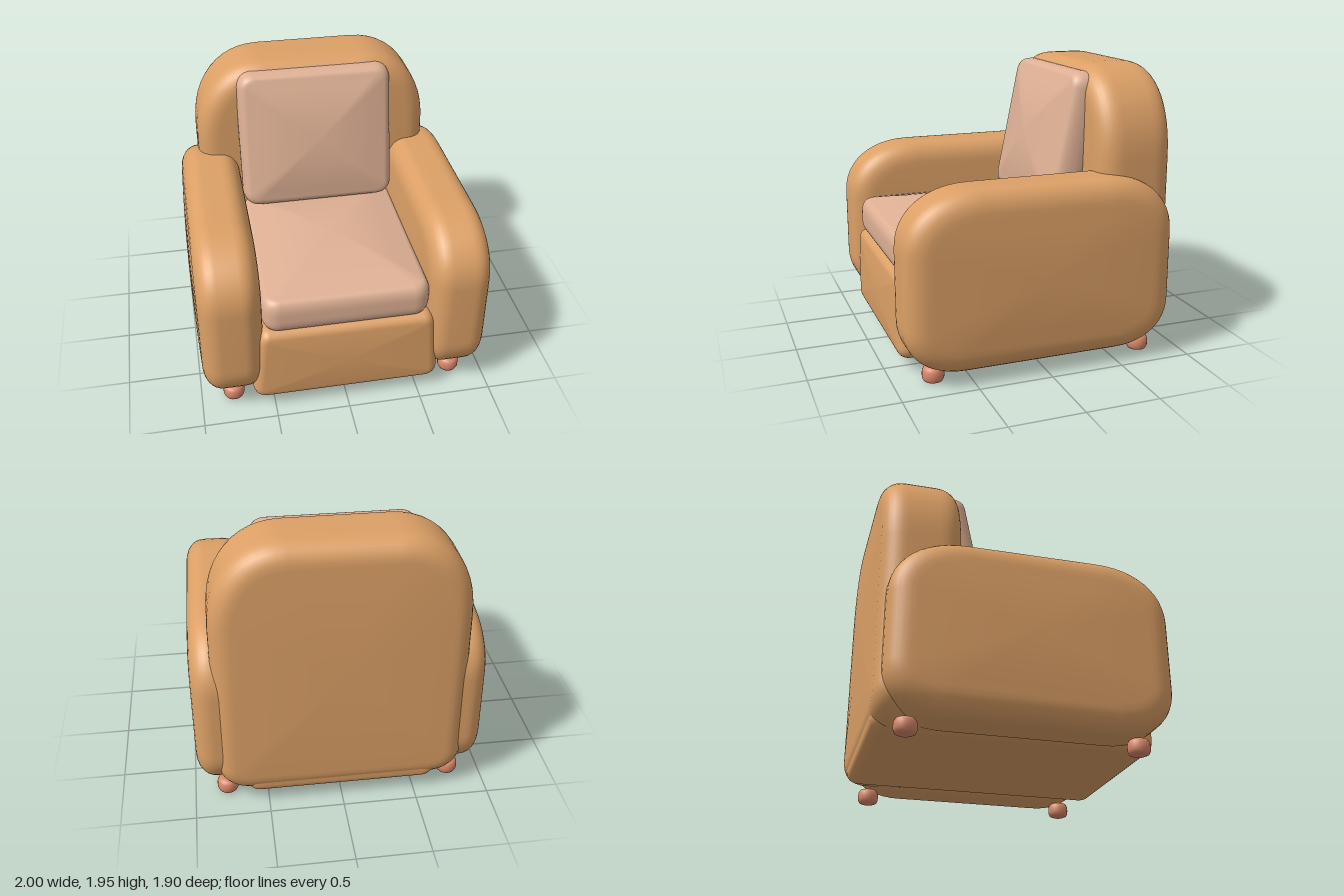
import * as THREE from 'three';

const leather = new THREE.MeshStandardMaterial({ color: 0xdca066 });
leather.name = 'tan upholstery';
const fabric = new THREE.MeshStandardMaterial({ color: 0xdeb094 });
fabric.name = 'pale cushion';
const wood = new THREE.MeshStandardMaterial({ color: 0xd9886a });
wood.name = 'reddish feet';

const soft = (v, n) => Math.pow(Math.max(v, 0), 2 / n);

// Padded slab facing +z: a, b, c are half sizes, top and bottom are corner radii [rx, ry],
// edge is [inset, depth] of the edge rounding, bulge is [front, back] crowning of the faces.
function padded({ a, b, c, top, bottom = top, edge, bulge = [0, 0], power = 2.2 }) {
  const CORNER = 12, EDGE = 8, CAP = 6;
  const sections = [];
  for (let i = 0; i < CAP; i++) {
    const s = i / CAP;
    sections.push([edge[0], s, c - bulge[0] * s * s, -c + bulge[1] * s * s]);
  }
  for (let i = 0; i <= EDGE; i++) {
    const t = (i / EDGE) * Math.PI / 2;
    const drop = edge[1] * (1 - soft(Math.cos(t), power));
    const inset = edge[0] * (1 - soft(Math.sin(t), power));
    sections.push([inset, 1, c - bulge[0] - drop, -c + bulge[1] + drop]);
  }
  const rings = [
    ...sections.map(([inset, s, z]) => [inset, s, z]),
    ...sections.slice().reverse().map(([inset, s, , z]) => [inset, s, z]),
  ];
  const corners = [[1, 1], [-1, 1], [-1, -1], [1, -1]];
  const pos = [], index = [];
  for (const [inset, s, z] of rings) {
    corners.forEach(([sx, sy], q) => {
      const r = sy > 0 ? top : bottom;
      const rx = Math.max(r[0] - inset, 0.02), ry = Math.max(r[1] - inset, 0.02);
      for (let k = 0; k <= CORNER; k++) {
        const f = k / CORNER;
        const t = (q % 2 ? 1 - f : f) * Math.PI / 2;
        const x = a - inset - rx + rx * soft(Math.cos(t), power);
        const y = b - inset - ry + ry * soft(Math.sin(t), power);
        pos.push(sx * x * s, sy * y * s, z);
      }
    });
  }
  const n = 4 * (CORNER + 1);
  for (let j = 0; j < rings.length - 1; j++) {
    for (let k = 0; k < n; k++) {
      const k1 = (k + 1) % n;
      const p = j * n + k, q = j * n + k1;
      index.push(p, p + n, q + n, p, q + n, q);
    }
  }
  const g = new THREE.BufferGeometry();
  g.setAttribute('position', new THREE.Float32BufferAttribute(pos, 3));
  g.setIndex(index);
  g.computeVertexNormals();
  return g;
}

export function createModel() {
  const chair = new THREE.Group();
  chair.name = 'armchair';
  const add = (name, geometry, material, x, y, z) => {
    const mesh = new THREE.Mesh(geometry, material);
    mesh.name = name;
    mesh.position.set(x, y, z);
    chair.add(mesh);
    return mesh;
  };

  // Base, slightly wider towards the floor
  const base = padded({
    a: 0.62, b: 0.29, c: 0.93, top: [0.08, 0.1], bottom: [0.1, 0.1],
    edge: [0.07, 0.09], bulge: [0.015, 0.01],
  });
  const p = base.attributes.position;
  for (let i = 0; i < p.count; i++) p.setX(i, p.getX(i) * (1.01 - 0.16 * p.getY(i)));
  base.computeVertexNormals();
  add('base', base, leather, 0, 0.375, 0.005);

  // Backrest with a broad rounded top
  add('backrest', padded({
    a: 0.84, b: 0.925, c: 0.28, top: [0.5, 0.6], bottom: [0.25, 0.22],
    edge: [0.15, 0.16], bulge: [0.01, 0.02],
  }), leather, 0, 1.02, -0.67);

  // Arms and feet, mirrored
  const arm = padded({
    a: 0.92, b: 0.595, c: 0.23, top: [0.5, 0.4], bottom: [0.4, 0.33],
    edge: [0.18, 0.14], bulge: [0.02, 0.02],
  });
  arm.rotateY(Math.PI / 2);
  const foot = new THREE.LatheGeometry([
    [0, 0], [0.045, 0], [0.063, 0.008], [0.072, 0.028], [0.073, 0.052],
    [0.071, 0.078], [0.06, 0.097], [0.04, 0.105], [0, 0.105],
  ].map(([r, y]) => new THREE.Vector2(r, y)), 24);
  for (const [side, s] of [['left', 1], ['right', -1]]) {
    add(side + 'Arm', arm, leather, s * 0.768, 0.675, 0.03);
    add(side + 'FrontFoot', foot, wood, s * 0.775, 0, 0.74);
    add(side + 'BackFoot', foot, wood, s * 0.775, 0, -0.73);
  }

  // Seat cushion, crowned on top
  const seat = padded({
    a: 0.565, b: 0.66, c: 0.16, top: [0.12, 0.12], edge: [0.06, 0.1], bulge: [0.07, 0],
  });
  seat.rotateX(-Math.PI / 2);
  add('seatCushion', seat, fabric, 0, 0.815, 0.25);

  // Back cushion, leaning on the backrest
  const cushion = add('backCushion', padded({
    a: 0.55, b: 0.5, c: 0.17, top: [0.12, 0.12], edge: [0.07, 0.13], bulge: [0.06, 0.03],
  }), fabric, 0, 1.405, -0.355);
  cushion.rotation.x = -0.2;

  return chair;
}
